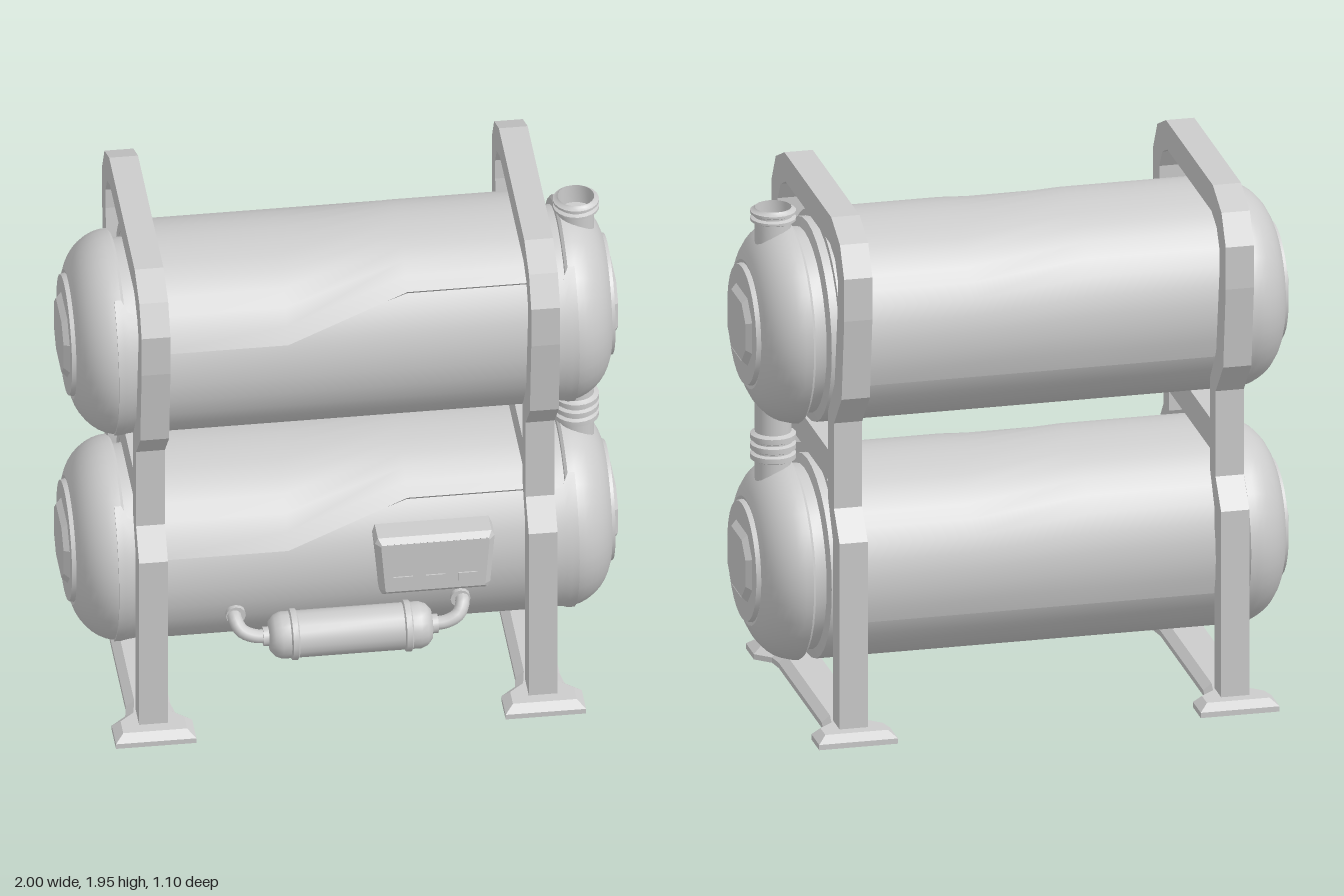
import * as THREE from 'three';
import { toCreasedNormals } from 'three/addons/utils/BufferGeometryUtils.js';

const material = new THREE.MeshStandardMaterial({ color: 0xcccccc });
const V = (x, y) => new THREE.Vector2(x, y);
const DEG = Math.PI / 180;

function add(parent, name, geometry, x = 0, y = 0, z = 0) {
  const mesh = new THREE.Mesh(geometry, material);
  mesh.name = name;
  mesh.position.set(x, y, z);
  parent.add(mesh);
  return mesh;
}

// Turned part from [radius, height] pairs, listed bottom to top
function lathe(points, sides = 24, crease = 0.6) {
  return toCreasedNormals(new THREE.LatheGeometry(points.map(p => V(...p)), sides), crease);
}

// The same pairs mirrored below to close a symmetrical profile
const mirrored = half => [...half.map(([r, h]) => [r, -h]).reverse(), ...half];

const toShape = (points, holes = []) => {
  const shape = new THREE.Shape(points.map(p => V(...p)));
  shape.holes = holes.map(h => new THREE.Path(h.map(p => V(...p))));
  return shape;
};

function extrude(shape, depth, bevel = 0, thickness = bevel) {
  return new THREE.ExtrudeGeometry(shape, {
    depth, bevelEnabled: bevel > 0, bevelSize: bevel, bevelOffset: -bevel,
    bevelThickness: thickness, bevelSegments: 1,
  });
}

const octagon = (w, h, c) => [
  [w, -h + c], [w, h - c], [w - c, h], [-w + c, h],
  [-w, h - c], [-w, -h + c], [-w + c, -h], [w - c, -h],
];

// Curved plate around the x axis; each x station has its own angle range
function curvedPlate(stations, r0, r1, arcSegments) {
  const n = stations.length - 1;
  const g = new THREE.BoxGeometry(1, 1, 1, n, arcSegments, 1);
  const p = g.attributes.position;
  for (let i = 0; i < p.count; i++) {
    const [x, from, to] = stations[Math.round((p.getX(i) + 0.5) * n)];
    const a = (from + (to - from) * (p.getY(i) + 0.5)) * DEG;
    const r = p.getZ(i) > 0 ? r1 : r0;
    p.setXYZ(i, x, r * Math.sin(a), r * Math.cos(a));
  }
  g.computeVertexNormals();
  return g;
}

function makeTank(y) {
  const tank = new THREE.Group();
  tank.name = 'tank';
  tank.position.y = y;

  // Body with necks and rounded caps
  const half = [[0.37, 0.74], [0.335, 0.75], [0.335, 0.795], [0.36, 0.795], [0.37, 0.805]];
  for (let i = 1; i <= 8; i++) {
    const a = i * 8.9 * DEG;
    half.push([0.17 + 0.2 * Math.cos(a), 0.805 + 0.17 * Math.sin(a)]);
  }
  half.push([0.222, 0.962], [0.218, 0.98], [0, 0.98]);
  add(tank, 'tankBody', lathe(mirrored(half), 32).rotateZ(-Math.PI / 2));

  // Outer shell with a stepped front edge
  add(tank, 'shell', curvedPlate(
    [[-0.745, 21, 200], [-0.22, 21, 200], [0.22, 44, 200], [0.71, 44, 200]], 0.36, 0.395, 18));

  for (const side of [1, -1]) {
    // Front collar on each cap
    const s = [[0.72 * side, -40, 40], [0.785 * side, -45, 45], [0.805 * side, -52, 52], [0.83 * side, -52, 52]];
    if (side < 0) s.reverse();
    add(tank, 'collarPlate', curvedPlate(s, 0.32, 0.374, 12));

    // Octagonal hub on each end
    const hub = new THREE.Group();
    hub.name = 'endHub';
    hub.rotation.y = side * Math.PI / 2;
    hub.position.x = side * 0.965;
    tank.add(hub);
    add(hub, 'hubRim', extrude(toShape(octagon(0.155, 0.128, 0.07), [octagon(0.115, 0.092, 0.05)]), 0.015, 0.02));
    add(hub, 'hubPlate', extrude(toShape(octagon(0.09, 0.068, 0.035)), 0.015, 0.012));
  }
  return tank;
}

// Foot outline: wide pads joined by a narrow bar
function footGeometry() {
  const q = [[0.08, 0.32], [0.09, 0.38], [0.145, 0.43], [0.145, 0.548]];
  const flip = (sx, sy) => q.map(([x, y]) => [x * sx, y * sy]);
  const shape = toShape([...flip(1, 1), ...flip(-1, 1).reverse(), ...flip(-1, -1), ...flip(1, -1).reverse()]);
  const g = extrude(shape, 0.02, 0.03, 0.025);
  // Flatten the underside
  const p = g.attributes.position;
  for (let i = 0; i < p.count; i++) if (p.getZ(i) < 0) p.setZ(i, 0);
  g.computeVertexNormals();
  return g.rotateX(-Math.PI / 2);
}

function makeFrame(x) {
  const frame = new THREE.Group();
  frame.name = 'frame';
  frame.position.x = x;
  const outer = [[0.474, 0.03], [0.474, 0.75], [0.39, 0.855], [0.39, 1.18], [0.505, 1.31],
    [0.543, 1.62], [0.543, 1.78], [0.48, 1.89], [0.35, 1.95]];
  const inner = [[0.305, 0.935], [0.305, 0.86], [0.376, 0.73], [0.376, 0.03]];
  const window = [[0.305, 1.05], [0.305, 1.2], [0.4, 1.335], [0.45, 1.66], [0.45, 1.74],
    [0.407, 1.81], [0.33, 1.845]];
  const flip = pts => pts.map(([a, b]) => [-a, b]).reverse();
  const shape = toShape([...outer, ...flip(outer), ...flip(inner), ...inner],
    [[...window, ...flip(window)]]);
  add(frame, 'uprightFrame', extrude(shape, 0.104).rotateY(Math.PI / 2), -0.052);
  add(frame, 'foot', footGeometry());
  return frame;
}

// Ribbed coupling profile from y = 0 upward
function ribs(count, pitch) {
  const pts = [];
  for (let i = 0; i < count; i++) {
    const y = i * pitch;
    pts.push([0.07, y], [0.083, y + 0.006], [0.083, y + pitch - 0.012], [0.07, y + pitch - 0.006]);
  }
  return pts;
}

function makeReservoir() {
  const group = new THREE.Group();
  group.name = 'reservoir';
  group.position.set(-0.005, 0.36, 0.43);
  const half = [[0.085, 0.19], [0.093, 0.195], [0.093, 0.215], [0.085, 0.22], [0.085, 0.25],
    [0.075, 0.275], [0.055, 0.292], [0.035, 0.295], [0.035, 0.315], [0, 0.315]];
  add(group, 'reservoirBody', lathe(mirrored(half), 20).rotateZ(-Math.PI / 2));
  for (const s of [1, -1]) {
    const path = new THREE.CatmullRomCurve3([
      [0.29, 0, 0], [0.345, 0.005, 0], [0.39, 0.025, -0.01], [0.41, 0.055, -0.04], [0.405, 0.06, -0.12],
    ].map(([x, y, z]) => new THREE.Vector3(x * s, y, z)));
    add(group, 'elbowPipe', new THREE.TubeGeometry(path, 16, 0.026, 10));
    add(group, 'pipeFlange', new THREE.CylinderGeometry(0.036, 0.036, 0.02, 12).rotateX(Math.PI / 2),
      s * 0.405, 0.06, -0.065);
  }
  return group;
}

function makePanel() {
  const panel = new THREE.Group();
  panel.name = 'switchPanel';
  panel.position.set(0.303, 0.61, 0.3);
  const columns = [-0.117, 0, 0.117];
  const windows = columns.map(x => [[x - 0.054, 0.085], [x + 0.054, 0.085], [x + 0.038, -0.075], [x - 0.038, -0.075]]);
  const rim = [[-0.19, -0.122], [0.19, -0.122], [0.2, -0.1], [0.216, 0.1], [0.205, 0.122],
    [-0.205, 0.122], [-0.216, 0.1], [-0.2, -0.1]];
  add(panel, 'panelHousing', extrude(toShape(rim, windows), 0.105, 0.02));
  add(panel, 'panelBack', new THREE.BoxGeometry(0.36, 0.2, 0.06), 0, 0, 0.06);
  for (const x of columns) {
    const lever = [[-0.03, 0.07], [-0.018, -0.035], [0.018, -0.035], [0.03, 0.07]];
    add(panel, 'lever', extrude(toShape(lever), 0.02, 0.008), x, 0, 0.085);
    add(panel, 'leverStop', new THREE.BoxGeometry(0.07, 0.035, 0.05), x, -0.055, 0.105);
  }
  return panel;
}

export function createModel() {
  const model = new THREE.Group();
  model.name = 'twinTankRack';
  model.add(makeTank(0.54), makeTank(1.44), makeFrame(-0.72), makeFrame(0.685), makeReservoir(), makePanel());

  // Pipe joining the two tanks, with ribbed coupling
  add(model, 'linkPipe', new THREE.CylinderGeometry(0.066, 0.066, 0.44, 20), 0.865, 0.99);
  add(model, 'linkCoupling', lathe([[0.06, 0], ...ribs(3, 0.037), [0.06, 0.111]], 20), 0.865, 0.92);

  // Open filler neck on the upper tank
  add(model, 'fillerNeck', lathe([[0.066, -0.15], [0.066, 0], ...ribs(2, 0.027), [0.066, 0.054],
    [0.066, -0.02], [0, -0.02]], 20), 0.865, 1.825);
  return model;
}
